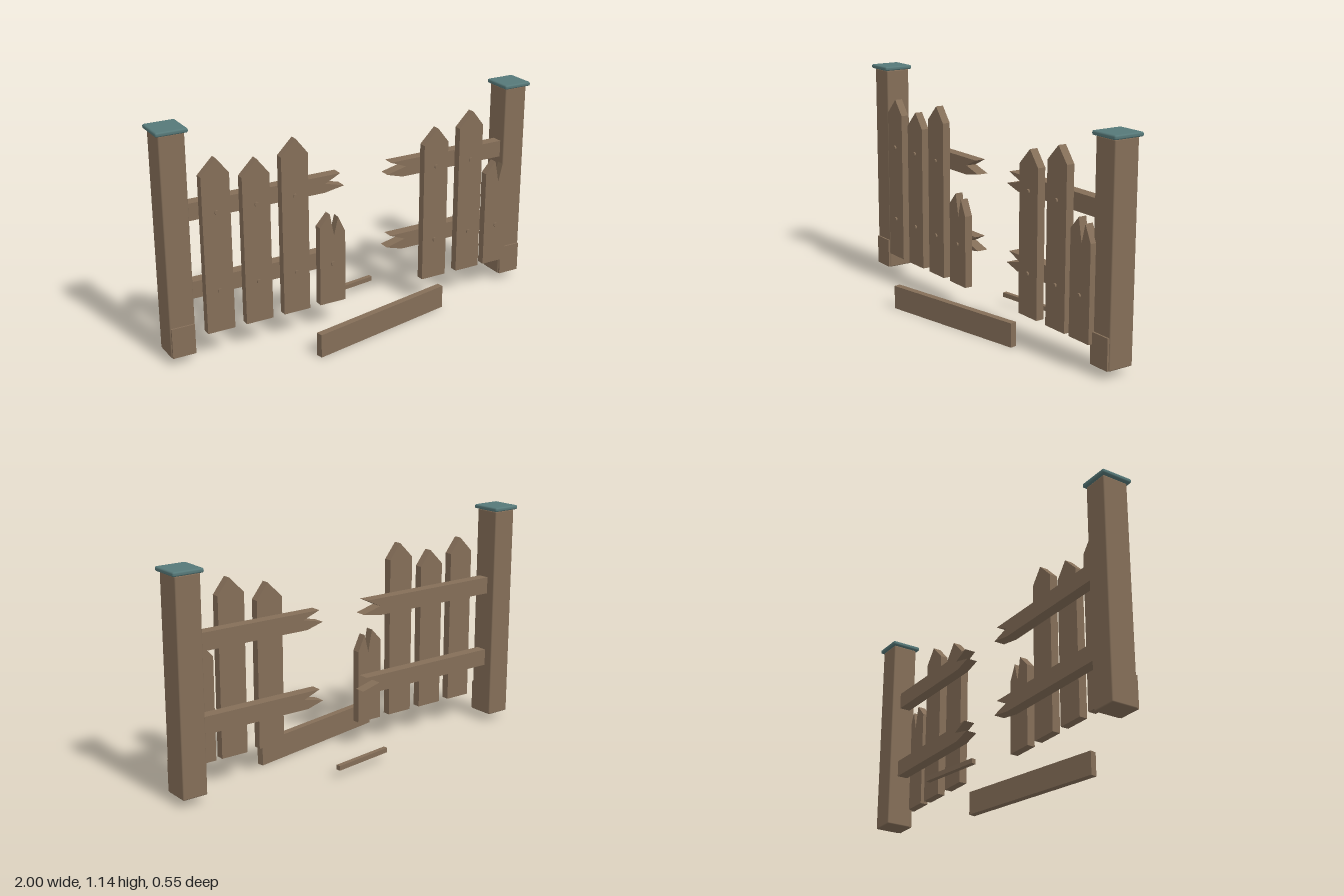
import * as THREE from 'three';
import { RoundedBoxGeometry } from 'three/addons/geometries/RoundedBoxGeometry.js';

const wood = new THREE.MeshStandardMaterial({ color: 0x846e58 });
wood.name = 'weathered wood';
const capPaint = new THREE.MeshStandardMaterial({ color: 0x567878 });
capPaint.name = 'teal cap';

export function createModel() {
  const group = new THREE.Group();
  group.name = 'brokenFence';

  const add = (name, geometry, material, x = 0, y = 0, z = 0) => {
    const mesh = new THREE.Mesh(geometry, material);
    mesh.name = name;
    mesh.position.set(x, y, z);
    group.add(mesh);
    return mesh;
  };

  // Flat board cut from an outline in x and y, between two depths
  const board = (name, points, back, front) => {
    const shape = new THREE.Shape(points.map(([x, y]) => new THREE.Vector2(x, y)));
    const geometry = new THREE.ExtrudeGeometry(shape, { depth: front - back, bevelEnabled: false });
    return add(name, geometry, wood, 0, 0, back);
  };

  // Posts with a foot plate and a cap
  for (const [side, x, top] of [['right', -0.9225, 1.115], ['left', 0.9225, 1.05]]) {
    const height = top - 0.038;
    add(side + 'Post', new RoundedBoxGeometry(0.124, height, 0.13, 2, 0.006), wood, x, 0.038 + height / 2, -0.064);
    add(side + 'FootPlate', new THREE.BoxGeometry(0.115, 0.15, 0.02), wood, x, 0.115, 0);
    add(side + 'PostCap', new RoundedBoxGeometry(0.152, 0.021, 0.158, 2, 0.008), capPaint,
      Math.sign(x) * 0.924, top + 0.0105, -0.063);
  }

  // Rails, snapped at their inner ends
  for (const [level, y] of [['lower', 0.301], ['upper', 0.686]]) {
    board('right' + level + 'Rail', [
      [-0.88, y], [-0.16, y], [-0.054, y + 0.018], [-0.155, y + 0.045],
      [-0.075, y + 0.084], [-0.88, y + 0.084],
    ], -0.083, -0.027);
    board('left' + level + 'Rail', [
      [0.88, y], [0.275, y], [0.188, y + 0.025], [0.295, y + 0.05],
      [0.207, y + 0.084], [0.88, y + 0.084],
    ], -0.083, -0.027);
  }

  // Nail heads on the pickets
  const nailGeometry = new THREE.CylinderGeometry(0.011, 0.011, 0.016, 10);
  nailGeometry.rotateX(Math.PI / 2);
  const nail = (x, y) => add('nail', nailGeometry, wood, x, y, 0.03);

  // Whole pickets: centre x and peak height
  const bottom = 0.133;
  for (const [x, peak] of [[-0.741, 0.981], [-0.543, 0.942], [-0.345, 1.003], [0.433, 0.922], [0.638, 0.975]]) {
    board('picket', [
      [x - 0.069, bottom], [x + 0.069, bottom], [x + 0.069, peak - 0.077],
      [x + 0.008, peak], [x - 0.069, peak - 0.077],
    ], -0.01, 0.03);
    nail(x, 0.727);
    nail(x, 0.34);
  }

  // Snapped pickets: centre x and splinter height
  for (const [x, peak] of [[-0.15, 0.597], [0.808, 0.688]]) {
    board('brokenPicket', [
      [x - 0.069, bottom], [x + 0.069, bottom], [x + 0.069, peak - 0.101],
      [x + 0.031, peak - 0.021], [x + 0.008, peak - 0.112],
      [x - 0.014, peak], [x - 0.069, peak - 0.06],
    ], -0.01, 0.03);
    nail(x, 0.34);
  }

  // Fallen pieces on the ground
  add('fallenPlank', new THREE.BoxGeometry(0.795, 0.117, 0.034), wood, 0.037, 0.0585, 0.181).rotation.y = 0.2;
  add('fallenSplinter', new THREE.BoxGeometry(0.326, 0.023, 0.023), wood, 0.073, 0.0535, -0.238).rotation.y = 0.148;

  return group;
}
